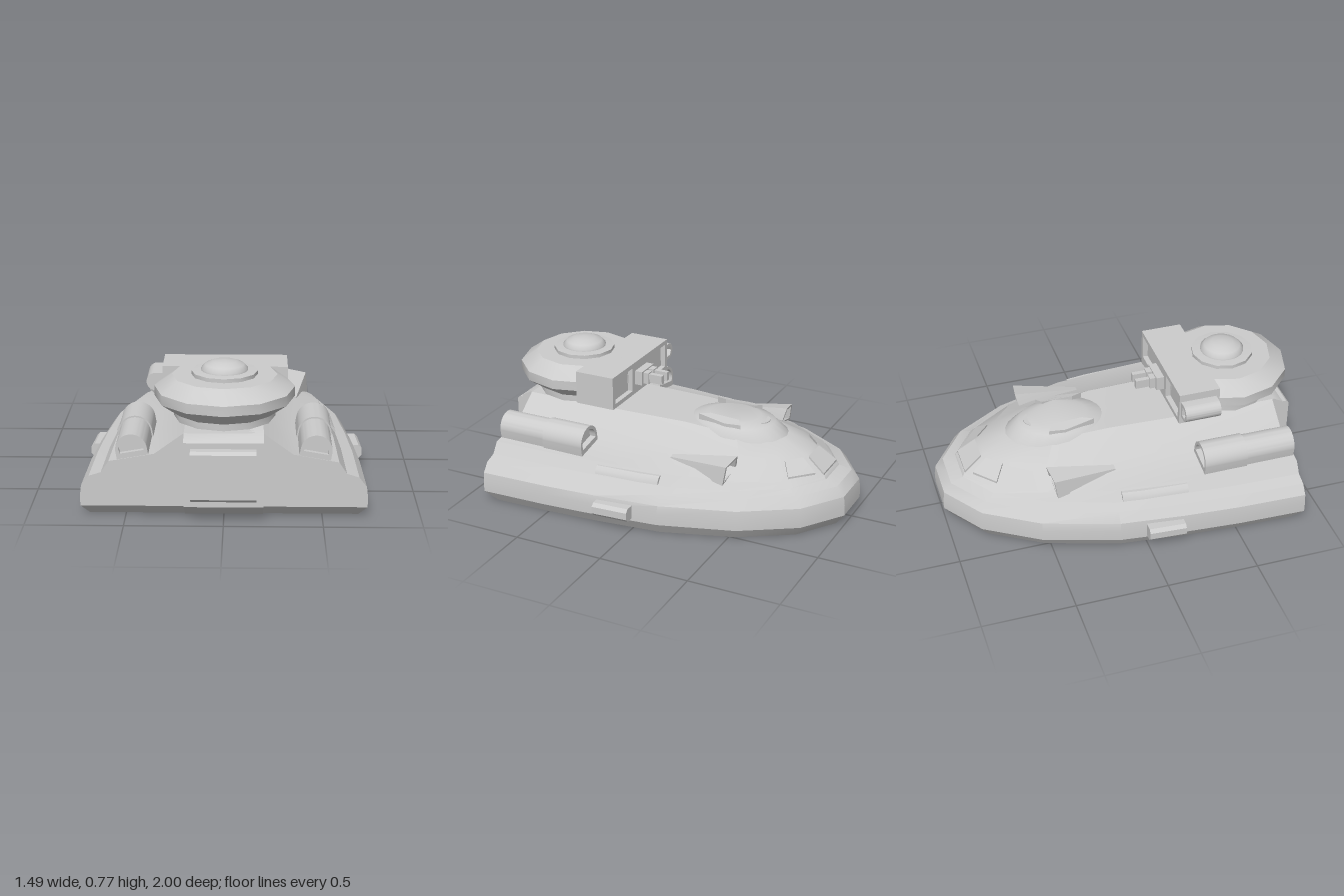
import * as THREE from 'three';
import { toCreasedNormals } from 'three/addons/utils/BufferGeometryUtils.js';

const material = new THREE.MeshStandardMaterial({ color: 0xcccccc });

function add(parent, name, geometry, x = 0, y = 0, z = 0, crease = 0.6) {
  const mesh = new THREE.Mesh(toCreasedNormals(geometry, crease), material);
  mesh.name = name;
  mesh.position.set(x, y, z);
  parent.add(mesh);
  return mesh;
}

// Closed skin over equal-length loops of points, turned so its volume is positive
function loft(rings, capped = true) {
  const tris = [], n = rings[0].length;
  const tri = (a, b, c) => tris.push([a, b, c].map((p) => new THREE.Vector3(...p)));
  for (let r = 0; r < rings.length - 1; r++) {
    for (let i = 0; i < n; i++) {
      const j = (i + 1) % n, A = rings[r], B = rings[r + 1];
      tri(A[i], A[j], B[j]);
      tri(A[i], B[j], B[i]);
    }
  }
  if (capped) {
    const first = rings[0], last = rings[rings.length - 1];
    for (let i = 1; i < n - 1; i++) {
      tri(first[0], first[i + 1], first[i]);
      tri(last[0], last[i], last[i + 1]);
    }
  }
  const solid = tris.filter(([a, b, c]) => b.clone().sub(a).cross(c.clone().sub(a)).length() > 1e-8);
  const volume = solid.reduce((s, [a, b, c]) => s + a.dot(b.clone().cross(c)), 0);
  const points = solid.flatMap(([a, b, c]) => (volume < 0 ? [a, c, b] : [a, b, c]));
  return new THREE.BufferGeometry().setFromPoints(points);
}

const flat = (pts) => new THREE.Shape(pts.map((p) => new THREE.Vector2(...p)));
const extrude = (shape, depth) => new THREE.ExtrudeGeometry(shape, { depth, bevelEnabled: false, curveSegments: 14 });
// Profile of [z, y] points swept across the width
const across = (pts, width) => extrude(flat(pts), width).rotateY(-Math.PI / 2).translate(width / 2, 0, 0);
const lathe = (pts, sides) => new THREE.LatheGeometry(pts.map((p) => new THREE.Vector2(...p)), sides);
const mix = (a, b, t) => a.map((v, i) => v + (b[i] - v) * t);
const flip = (pts, s) => pts.map(([x, y, z]) => [x * s, y, z]);
const raise = (pts, d) => pts.map(([x, y, z]) => [x, y + d, z]);

// Half outlines from the stern to the bow centre, as [x, y, z]
const rim = [[.728, .1, .88], [.717, .1, .5], [.695, .1, .2], [.655, .1, -.15], [.53, .1, -.55], [.35, .1, -.84], [.12, .1, -1], [0, .1, -1]];
const deckEdge = [[.62, .24, .88], [.61, .24, .5], [.59, .24, .2], [.555, .24, -.15], [.435, .24, -.5], [.285, .24, -.75], [.1, .24, -.88], [0, .24, -.88]];
const shoulder = [[.58, .3, .88], [.57, .3, .5], [.55, .3, .2], [.515, .295, -.15], [.41, .28, -.49], [.27, .265, -.73], [.095, .255, -.87], [0, .255, -.87]];
const cabinFoot = [[.35, .34, .88], [.35, .34, .5], [.335, .34, .2], [.31, .345, -.15], [.27, .35, -.45], [.19, .35, -.63], [.07, .345, -.75], [0, .345, -.75]];
const cabinTop = [[.2, .45, .88], [.2, .45, .5], [.19, .45, .2], [.18, .45, -.08], [.16, .425, -.38], [.11, .41, -.52], [.045, .4, -.61], [0, .4, -.61]];

function addHull(group) {
  const full = (half) => [...half, ...flip(half.slice(0, -1).reverse(), -1)];
  const skirt = (t, y) => rim.map((p, i) => { const q = mix(p, deckEdge[i], t); return [q[0], y, q[2]]; });
  const bottom = skirt(.38, 0);
  bottom[0][2] = .82;
  const spine = (half) => half.map(([, y, z]) => [0, y, z]);
  const halves = [spine(bottom), bottom, skirt(0, .06), skirt(.0, .12), skirt(.06, .17), skirt(.42, .22),
    deckEdge, shoulder, cabinFoot, cabinTop, spine(cabinTop)];
  add(group, 'hull', loft(halves.map(full), false), 0, 0, 0, 0.5);

  // Raised canopy
  const oval = (rx, rz, y) => Array.from({ length: 24 }, (_, i) => {
    const a = (i / 24) * Math.PI * 2;
    return [Math.cos(a) * rx, y, -.3 + Math.sin(a) * rz];
  });
  add(group, 'canopy', loft([oval(.21, .32, .37), oval(.2, .31, .4), oval(.17, .23, .455), oval(.12, .15, .475)]), 0, 0, 0, 0.8);
  const arc = new THREE.Shape();
  arc.absarc(0, 0, .065, Math.PI * .2, Math.PI * .8, false);
  arc.absarc(0, 0, .04, Math.PI * .8, Math.PI * .2, true);
  add(group, 'canopyHatch', extrude(arc, .03).rotateX(-Math.PI / 2), 0, .437, -.44);

  // Bow windows lie on the slope between shoulder and cabin
  const plate = (quad) => loft([raise(quad, -.02), raise(quad, .012)]);
  const [s6, c6] = [shoulder[6], cabinFoot[6]];
  const low = mix(s6, c6, .04), high = mix(s6, c6, .85);
  add(group, 'bowWindow', plate([low, high, ...flip([high, low], -1)]));
  const at = (u, v) => mix(mix(shoulder[5], s6, u), mix(cabinFoot[5], c6, u), v);
  for (const s of [1, -1]) {
    add(group, 'sideBowWindow', plate(flip([at(.05, .12), at(.8, .12), at(.8, .82), at(.2, .82)], s)));
    // Slanted canopy window
    const slit = [[.105, .477, -.37], [.15, .467, -.4], [.16, .465, -.31], [.125, .477, -.14], [.1, .482, -.2], [.125, .475, -.3]];
    add(group, 'canopyWindow', plate(flip(slit, s)));
  }
}

function addSide(group, s) {
  // Air scoop: hollow mouth facing the bow, tapering aft
  const mouth = [[.31, .31, -.45], [.34, .395, -.47], [.455, .375, -.455], [.465, .27, -.44]];
  const mid = mix(mix(mouth[0], mouth[2], .5), mix(mouth[1], mouth[3], .5), .5);
  const inner = mouth.map((p) => mix(p, mid, .22));
  const deep = inner.map(([x, y, z]) => [x, y - .01, z + .06]);
  const tail = [[.355, .31, -.1], [.36, .338, -.1], [.39, .333, -.1], [.395, .3, -.1]];
  add(group, 'airScoop', loft([deep, inner, mouth, tail].map((r) => flip(r, s))));

  // Long vent strip on the deck edge
  const strip = (z, x) => [[x - .03, .25, z], [x + .012, .248, z], [x + .004, .27, z], [x - .015, .287, z], [x - .04, .287, z]];
  add(group, 'ventStrip', loft([strip(.25, .585), strip(0, .57), strip(-.11, .555)].map((r) => flip(r, s))));

  // Chamfered boarding step
  const step = (x, d) => [[x, .075 + d, -.01], [x, .15 - d, -.01], [x + .012, .15 - d, .19], [x + .012, .075 + d, .19]];
  add(group, 'boardingStep', loft([step(.6, 0), step(.715, 0), step(.733, .018)].map((r) => flip(r, s))));

  // Half-round engine pod with recessed ends
  const pod = new THREE.Group();
  pod.name = 'enginePod';
  pod.position.set(s * .465, .36, 0);
  pod.rotation.z = -s * .17;
  group.add(pod);
  const arch = (r, base) => {
    const shape = new THREE.Shape();
    shape.moveTo(-r, base);
    shape.lineTo(r, base);
    shape.absarc(0, 0, r, 0, Math.PI, false);
    return shape;
  };
  const shell = (name, r, z0, z1) => {
    const shape = arch(r, -.06);
    shape.holes.push(arch(r - .018, -.012));
    add(pod, name, extrude(shape, z1 - z0), 0, 0, z0);
  };
  shell('podRearShell', .08, .6, .875);
  shell('podFrontShell', .088, .357, .6);
  add(pod, 'podCore', extrude(arch(.066, -.03), .46), 0, 0, .39);
}

function addStern(group) {
  add(group, 'sternFrame', across([[.5, .02], [.83, .0], [.945, .08], [.945, .42], [.89, .45], [.5, .45]], .4));
  add(group, 'sternDoor', across([[.9, .12], [.975, .12], [1, .14], [1, .375], [.985, .39], [.9, .39]], .33));
}

function addTurret(group) {
  const turret = new THREE.Group();
  turret.name = 'turret';
  group.add(turret);
  const z = .64;
  add(turret, 'turretNeck', lathe([[0, .43], [.17, .43], [.17, .47], [0, .47]], 12), 0, 0, z);
  add(turret, 'turretRing', lathe([[0, .468], [.26, .468], [.26, .508], [0, .508]], 12), 0, 0, z);
  add(turret, 'turretBody', lathe([[0, .503], [.26, .503], [.36, .575], [.36, .627], [.27, .69], [0, .69]], 12), 0, 0, z);
  add(turret, 'hatchRing', lathe([[0, .68], [.17, .68], [.17, .71], [.12, .714], [0, .714]], 12), 0, 0, z);
  add(turret, 'hatchDome', lathe([[.12, .705], [.12, .722], [.1, .743], [.06, .759], [0, .766]], 24), 0, 0, z, 1);

  // Gun housing with two recessed panels facing the bow
  add(turret, 'gunHousing', new THREE.BoxGeometry(.65, .185, .2), 0, .5975, .41);
  const face = flat([[-.325, .505], [.325, .505], [.325, .69], [-.325, .69]]);
  for (const s of [1, -1]) {
    face.holes.push(flat([[s * .1, .53], [s * .1, .665], [s * .3, .665], [s * .3, .53]]));
  }
  add(turret, 'housingFace', extrude(face, .03), 0, 0, .281);

  // Twin gun
  add(turret, 'gunMount', new THREE.BoxGeometry(.14, .08, .05), 0, .6, .262);
  for (const s of [1, -1]) {
    add(turret, 'gunBreech', new THREE.BoxGeometry(.045, .065, .04), s * .032, .6, .225);
    add(turret, 'gunBarrel', new THREE.BoxGeometry(.026, .05, .11), s * .032, .6, .182);
  }

  // Sensor pod on the right flank, rounded outward, with a sunken front
  const outline = (r) => {
    const shape = new THREE.Shape();
    shape.moveTo(.04, -r);
    shape.lineTo(.04, r);
    shape.absarc(0, 0, r, Math.PI / 2, Math.PI * 1.5, false);
    return shape;
  };
  const rimShape = outline(.047);
  rimShape.holes.push(flat([[.02, -.028], [-.015, -.028], [-.03, 0], [-.015, .028], [.02, .028]]));
  add(turret, 'sensorPodRim', extrude(rimShape, .03), -.364, .6, .29);
  add(turret, 'sensorPod', extrude(outline(.047), .17), -.364, .6, .32);
}

export function createModel() {
  const model = new THREE.Group();
  model.name = 'armouredHovercraft';
  addHull(model);
  addStern(model);
  for (const s of [1, -1]) addSide(model, s);
  addTurret(model);
  return model;
}
